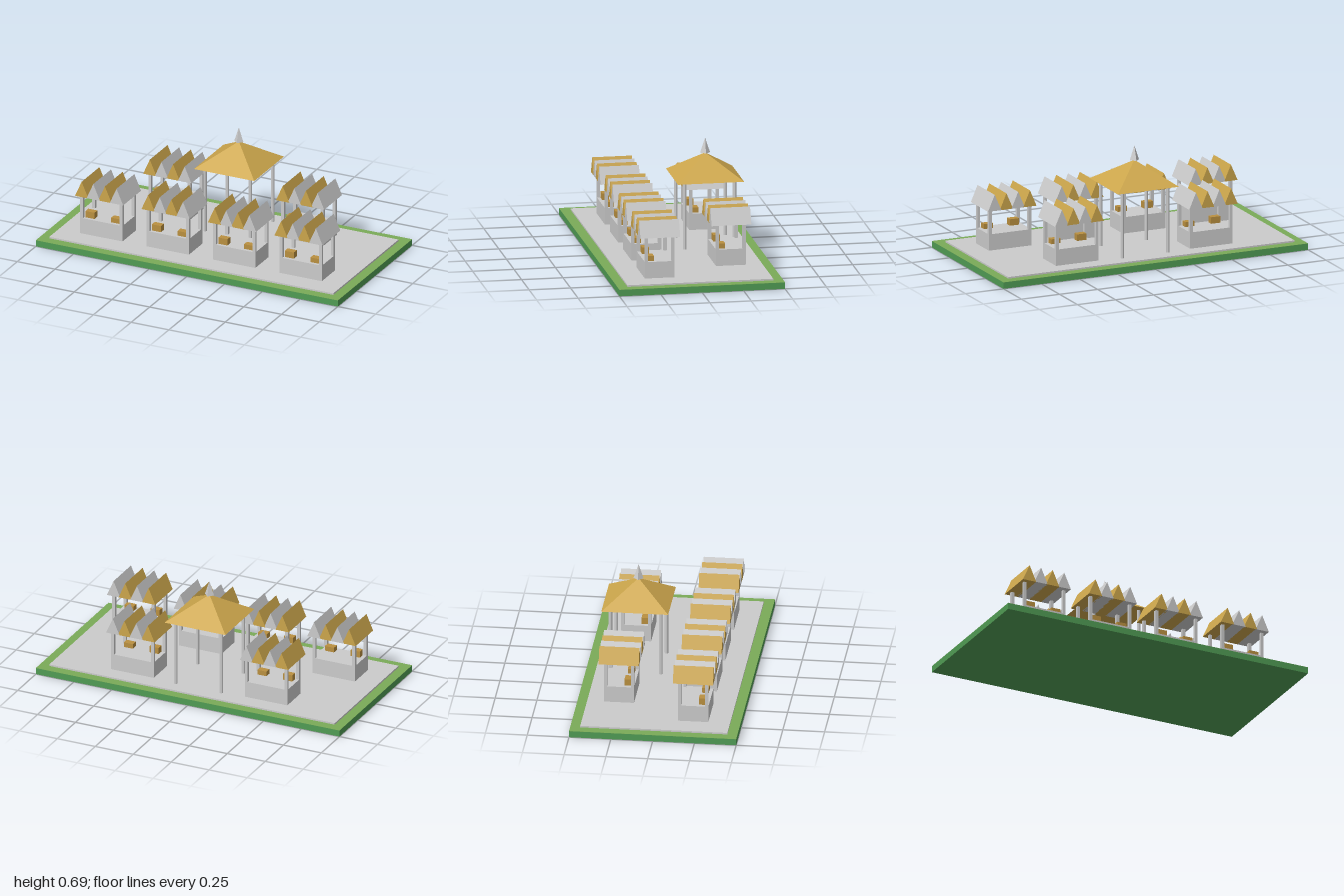
import * as THREE from 'three';

const paint = (color) => new THREE.MeshStandardMaterial({ color, flatShading: true });
const grey = paint(0xcccccc);
const gold = paint(0xcca64c);
const wood = paint(0xba9040);
const green = paint(0x509c54);
const grass = paint(0x7aab58);

function add(parent, name, geometry, material, x, y, z) {
  const mesh = new THREE.Mesh(geometry, material);
  mesh.name = name;
  mesh.position.set(x, y, z);
  parent.add(mesh);
  return mesh;
}

// Box placed by the height of its underside
function box(parent, name, material, [w, h, d], x, bottom, z) {
  return add(parent, name, new THREE.BoxGeometry(w, h, d), material, x, bottom + h / 2, z);
}

// Triangular awning ridge, running front to back
function ridgeGeometry(width, height, depth) {
  const shape = new THREE.Shape();
  shape.moveTo(-width / 2, 0);
  shape.lineTo(width / 2, 0);
  shape.lineTo(0, height);
  shape.closePath();
  return new THREE.ExtrudeGeometry(shape, { depth, bevelEnabled: false }).translate(0, 0, -depth / 2);
}

function createStall() {
  const stall = new THREE.Group();
  stall.name = 'marketStall';
  box(stall, 'counter', grey, [0.28, 0.1, 0.18], 0, 0.05, 0);
  for (const sx of [-1, 1]) {
    for (const sz of [-1, 1]) {
      box(stall, 'stallPost', grey, [0.019, 0.15, 0.019], sx * 0.1305, 0.15, sz * 0.0805);
    }
  }
  // Striped awning of four alternating ridges
  const ridge = ridgeGeometry(0.088, 0.1, 0.24);
  for (let i = 0; i < 4; i++) {
    add(stall, 'awningRidge', ridge, i % 2 ? grey : gold, (i - 1.5) * 0.077, 0.3, 0);
  }
  // Goods at the front of the counter
  box(stall, 'tallCrate', wood, [0.06, 0.04, 0.04], -0.085, 0.15, 0.05);
  box(stall, 'lowCrate', wood, [0.06, 0.03, 0.04], 0.085, 0.15, 0.05);
  return stall;
}

function createPavilion() {
  const pavilion = new THREE.Group();
  pavilion.name = 'pavilion';
  const post = new THREE.CylinderGeometry(0.011, 0.011, 0.41, 8);
  for (const sx of [-1, 1]) {
    for (const sz of [-1, 1]) {
      add(pavilion, 'pavilionPost', post, grey, sx * 0.15, 0.255, sz * 0.15);
    }
  }
  const roof = new THREE.ConeGeometry(0.2 * Math.SQRT2, 0.14, 4).rotateY(Math.PI / 4);
  add(pavilion, 'pavilionRoof', roof, gold, 0, 0.53, 0);
  add(pavilion, 'spire', new THREE.ConeGeometry(0.03, 0.09, 4), grey, 0, 0.645, 0);
  return pavilion;
}

export function createModel() {
  const model = new THREE.Group();
  model.name = 'marketSquare';

  // Ground slab, grass top and paving
  box(model, 'groundSlab', green, [2, 0.039, 1], 0, 0, 0);
  box(model, 'grass', grass, [2, 0.001, 1], 0, 0.039, 0);
  box(model, 'paving', grey, [1.88, 0.01, 0.88], 0, 0.04, 0);

  // Four stalls in the front row, two at the back beside the pavilion
  const rows = [
    { z: 0.22, xs: [-0.66, -0.22, 0.22, 0.66] },
    { z: -0.25, xs: [-0.44, 0.44] },
  ];
  for (const { z, xs } of rows) {
    for (const x of xs) {
      const stall = createStall();
      stall.position.set(x, 0, z);
      model.add(stall);
    }
  }

  const pavilion = createPavilion();
  pavilion.position.z = -0.2;
  model.add(pavilion);
  return model;
}
